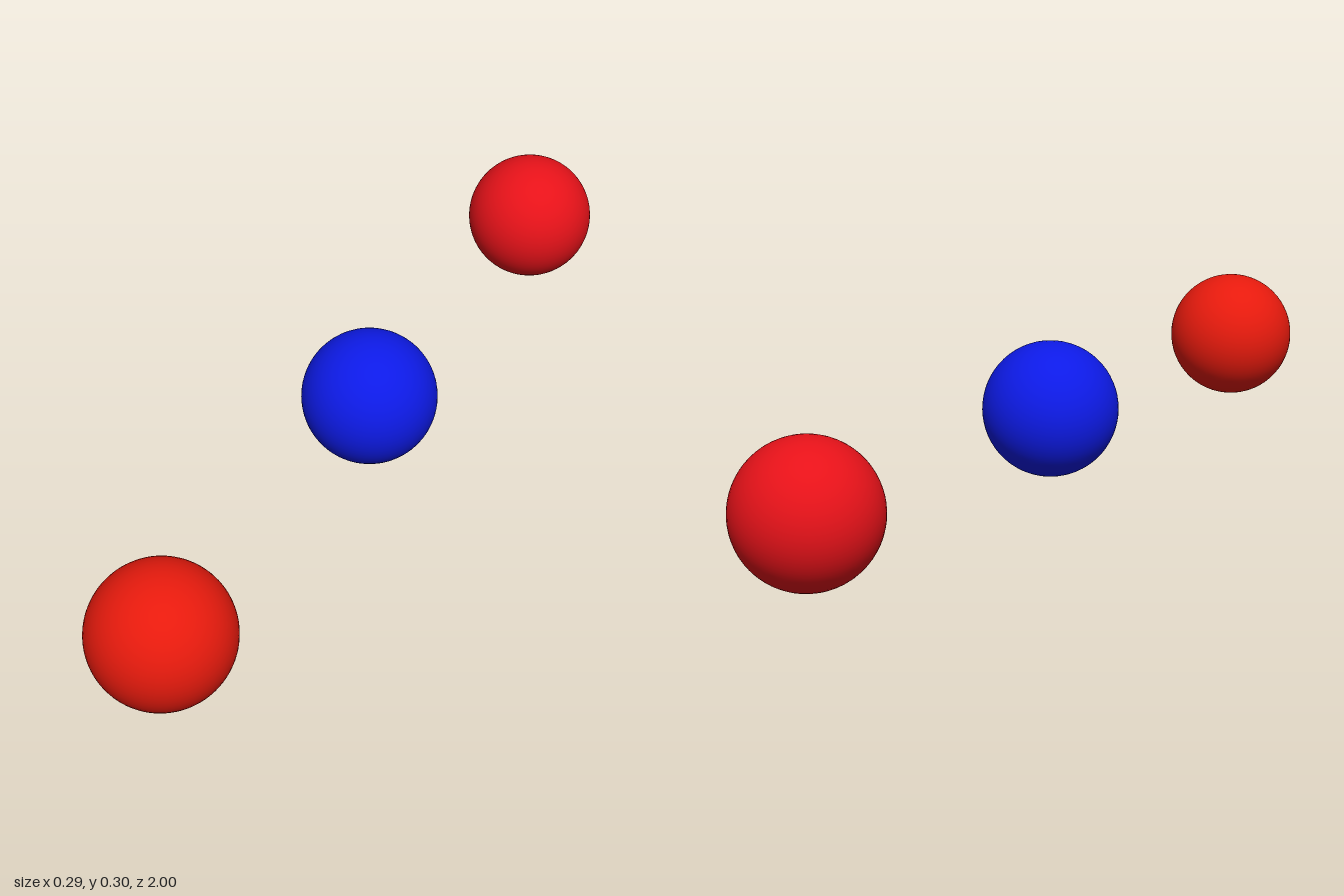
import * as THREE from 'three';

const RADIUS = 0.147;

// One smooth ball
function ball(name, color, y, z) {
  const mesh = new THREE.Mesh(
    new THREE.SphereGeometry(RADIUS, 64, 32),
    new THREE.MeshStandardMaterial({ color })
  );
  mesh.name = name;
  mesh.position.set(0, y, z);
  return mesh;
}

export function createModel() {
  const group = new THREE.Group();
  group.name = 'threeBalls';

  // Row of balls along z; the front one sits slightly lower
  group.add(
    ball('frontBall', 0xe61a0d, 0.147, 0.853),
    ball('middleBall', 0x0d1ae6, 0.154, 0),
    ball('backBall', 0xe61219, 0.154, -0.853)
  );
  return group;
}
